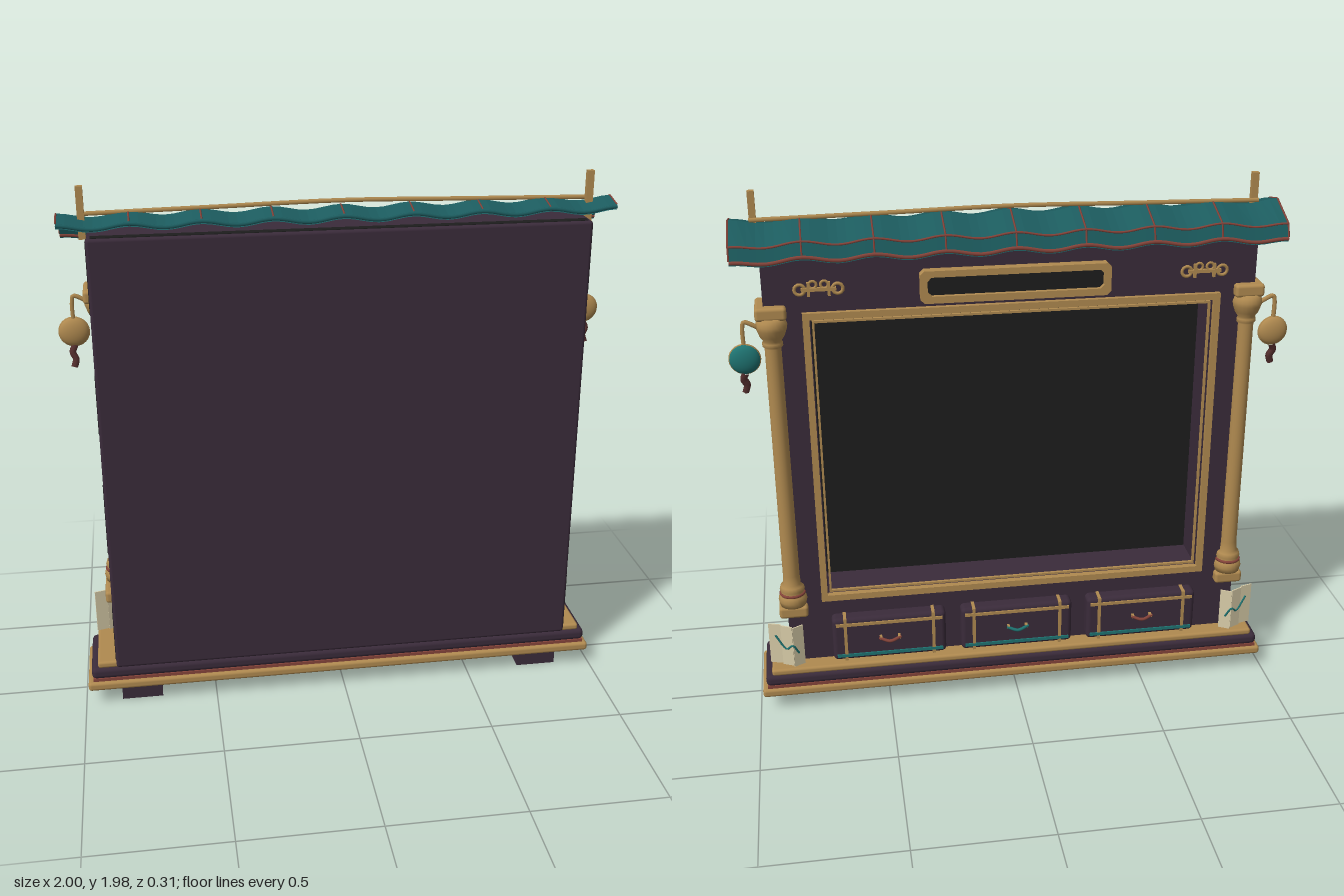
import * as THREE from 'three';
import { RoundedBoxGeometry } from 'three/addons/geometries/RoundedBoxGeometry.js';

const mat = (name, color, side = THREE.FrontSide) => {
  const m = new THREE.MeshStandardMaterial({ color, side });
  m.name = name;
  return m;
};

export function createModel() {
  const root = new THREE.Group();
  root.name = 'displayCabinet';
  const plum = mat('plum wood', 0x3a2b3a), gold = mat('aged gold', 0xb08a50);
  const roofTeal = mat('roof teal', 0x1c5c5f, THREE.DoubleSide), teal = mat('bright teal', 0x1f7472);
  const black = mat('screen black', 0x1d1d1d), red = mat('rust red', 0x86443a);
  const maroon = mat('dark maroon', 0x56302f), cream = mat('cream paper', 0xd8cca8);
  const V = (x, y, z) => new THREE.Vector3(x, y, z);

  const add = (name, geo, m, parent = root) => {
    const mesh = new THREE.Mesh(geo, m);
    mesh.name = name;
    parent.add(mesh);
    return mesh;
  };
  // Box given by its limits on each axis, optionally rounded
  const box = (name, m, x0, x1, y0, y1, z0, z1, r = 0, parent = root) => {
    const s = [x1 - x0, y1 - y0, z1 - z0];
    const geo = r ? new RoundedBoxGeometry(...s, 2, r) : new THREE.BoxGeometry(...s);
    const mesh = add(name, geo, m, parent);
    mesh.position.set((x0 + x1) / 2, (y0 + y1) / 2, (z0 + z1) / 2);
    return mesh;
  };
  const tube = (name, m, pts, r, parent = root, n = 24) =>
    add(name, new THREE.TubeGeometry(new THREE.CatmullRomCurve3(pts), n, r, 6), m, parent);
  // Rectangle outline with corners cut by c
  const rect = (P, x, y0, y1, c) => {
    const s = new P();
    s.moveTo(c - x, y0); s.lineTo(x - c, y0); s.lineTo(x, y0 + c); s.lineTo(x, y1 - c);
    s.lineTo(x - c, y1); s.lineTo(c - x, y1); s.lineTo(-x, y1 - c); s.lineTo(-x, y0 + c);
    s.closePath();
    return s;
  };
  // Rectangular frame between an outer and an inner rectangle
  const frame = (name, m, ox, oy0, oy1, ix, iy0, iy1, z0, z1, c = 0.001) => {
    const s = rect(THREE.Shape, ox, oy0, oy1, c);
    s.holes.push(rect(THREE.Path, ix, iy0, iy1, c));
    const g = new THREE.ExtrudeGeometry(s, { depth: z1 - z0, bevelEnabled: false });
    add(name, g.translate(0, 0, z0), m);
  };

  // Stepped base and feet
  for (const s of [-1, 1]) box('foot', plum, s * 0.785 - 0.077, s * 0.785 + 0.077, 0, 0.067, -0.047, 0.105);
  box('baseSlab', gold, -0.987, 0.987, 0.065, 0.1, -0.15, 0.14, 0.012);
  box('baseRedLine', red, -0.968, 0.968, 0.098, 0.112, -0.14, 0.127);
  box('baseStep', plum, -0.972, 0.972, 0.108, 0.155, -0.143, 0.128, 0.018);
  box('baseTopTrim', gold, -0.947, 0.947, 0.153, 0.18, -0.14, 0.122, 0.01);

  // Cabinet body with a deep opening, back panel and screen
  frame('cabinetBody', plum, 0.872, 0.175, 1.82, 0.715, 0.462, 1.56, -0.075, 0.115);
  box('backPanel', plum, -0.876, 0.876, 0.17, 1.822, 0.11, 0.155, 0.012);
  box('screen', black, -0.715, 0.715, 0.462, 1.56, 0.085, 0.112);
  frame('screenFrame', gold, 0.742, 0.438, 1.582, 0.718, 0.463, 1.558, -0.093, -0.07);
  frame('screenInnerTrim', gold, 0.71, 0.471, 1.55, 0.702, 0.479, 1.542, -0.08, -0.07);

  // Dark inlays along the edges of the back panel and body
  box('topInlay', black, -0.86, 0.86, 1.819, 1.824, 0.113, 0.144);
  const inlays = [[0.2, 0.42, 0.112, 0.143], [0.65, 0.92, 0.112, 0.14], [1.12, 1.34, 0.112, 0.14],
    [1.56, 1.81, 0.112, 0.143], [1.58, 1.8, 0.09, 0.109], [0.33, 0.42, 0.06, 0.109]];
  for (const s of [-1, 1]) for (const [y0, y1, z0, z1] of inlays)
    box('sideInlay', black, s * 0.874 - 0.0035, s * 0.874 + 0.0035, y0, y1, z0, z1);

  // Blank sign above the opening
  frame('signFrame', gold, 0.335, 1.602, 1.718, 0.31, 1.627, 1.695, -0.112, -0.07, 0.014);
  box('signPanel', black, -0.312, 0.312, 1.62, 1.7, -0.095, -0.07);

  // Three drawers with straps, trim and handles
  for (const cx of [-0.493, 0, 0.493]) {
    const d = new THREE.Group();
    d.name = 'drawer';
    d.position.x = cx;
    root.add(d);
    box('drawerFront', plum, -0.217, 0.217, 0.19, 0.372, -0.126, -0.06, 0.018, d);
    for (const y of [0.213, 0.348])
      box('drawerRail', y < 0.3 ? teal : gold, -0.203, 0.203, y - 0.006, y + 0.006, -0.131, -0.123, 0, d);
    for (const s of [-1, 1]) {
      box('drawerStrap', gold, s * 0.168 - 0.006, s * 0.168 + 0.006, 0.192, 0.375, -0.13, -0.07, 0, d);
      box('handlePost', gold, s * 0.035 - 0.005, s * 0.035 + 0.005, 0.28, 0.292, -0.145, -0.12, 0, d);
    }
    tube('drawerHandle', cx ? red : teal, [V(-0.042, 0.288, -0.14), V(0, 0.277, -0.151), V(0.042, 0.288, -0.14)], 0.006, d);
  }

  // Column profile, from base bulge to flared capital
  const columnProfile = [[0, 0.43], [0.048, 0.432], [0.054, 0.455], [0.05, 0.474], [0.041, 0.48], [0.047, 0.498],
    [0.043, 0.514], [0.033, 0.522], [0.031, 0.56], [0.03, 1.0], [0.029, 1.46], [0.036, 1.468], [0.036, 1.48],
    [0.032, 1.487], [0.044, 1.505], [0.053, 1.53], [0.055, 1.545], [0.05, 1.56], [0.042, 1.57], [0, 1.572]]
    .map(p => new THREE.Vector2(...p));

  for (const s of [-1, 1]) {
    const side = new THREE.Group();
    side.name = s > 0 ? 'leftSideFittings' : 'rightSideFittings';
    root.add(side);
    const X = x => s * x;
    // Columns with square blocks above and below
    add('column', new THREE.LatheGeometry(columnProfile, 20), gold, side).position.set(X(0.848), 0, -0.073);
    const band = add('columnRedBand', new THREE.TorusGeometry(0.044, 0.006, 6, 20), red, side);
    band.rotation.x = Math.PI / 2;
    band.position.set(X(0.848), 0.482, -0.073);
    for (const y of [0.383, 1.563])
      box('columnBlock', gold, X(0.848) - 0.054, X(0.848) + 0.054, y, y + 0.048, -0.108, 0.035, 0.012, side);

    // Hanging round lantern with hook and tassel
    tube('lanternHook', gold, [V(X(0.88), 1.53, -0.085), V(X(0.905), 1.548, -0.09), V(X(0.94), 1.562, -0.09),
      V(X(0.946), 1.54, -0.09), V(X(0.946), 1.475, -0.09)], 0.008, side);
    for (const back of [0, 1]) {
      const half = add(back ? 'lanternBack' : 'lanternFace', new THREE.SphereGeometry(0.054, 20, 14, back ? 0 : Math.PI, Math.PI),
        back || s < 0 ? gold : teal, side);
      half.scale.z = 0.45;
      half.position.set(X(0.946), 1.43, -0.092);
    }
    const rim = add('lanternRim', new THREE.TorusGeometry(0.05, 0.006, 6, 24), gold, side);
    rim.position.set(X(0.946), 1.43, -0.092);
    tube('lanternTassel', maroon, [V(X(0.946), 1.38, -0.092), V(X(0.956), 1.355, -0.085),
      V(X(0.946), 1.33, -0.08), V(X(0.953), 1.303, -0.075)], 0.013, side);

    // Folded paper card with a zigzag stroke
    const fold = [[0.82, -0.108], [0.86, -0.13], [0.902, -0.11], [0.948, -0.097]];
    for (let i = 0; i < 3; i++) {
      const [a, b] = [fold[i], fold[i + 1]];
      const panel = add('cardPanel', new THREE.BoxGeometry(Math.hypot(b[0] - a[0], b[1] - a[1]), 0.17, 0.005), cream, side);
      panel.position.set(X((a[0] + b[0]) / 2), 0.27 + 0.005 * i, (a[1] + b[1]) / 2);
      panel.rotation.y = -s * Math.atan2(b[1] - a[1], b[0] - a[0]);
    }
    tube('cardStroke', teal, [V(X(0.84), 0.24, -0.122), V(X(0.862), 0.28, -0.133), V(X(0.885), 0.262, -0.121),
      V(X(0.925), 0.318, -0.107)], 0.004, side);

    // Scroll ornament on the header
    const cx = X(0.68);
    box('scrollBar', gold, cx - 0.06, cx + 0.06, 1.658, 1.67, -0.088, -0.07, 0, side);
    for (const t of [-1, 1]) {
      add('scrollRing', new THREE.TorusGeometry(0.018, 0.006, 6, 14), gold, side).position.set(cx + t * 0.065, 1.664, -0.08);
      add('scrollBud', new THREE.TorusGeometry(0.013, 0.005, 6, 12), gold, side).position.set(cx + t * 0.02, 1.68, -0.08);
      box('scrollPin', gold, cx + t * 0.035 - 0.005, cx + t * 0.035 + 0.005, 1.64, 1.69, -0.086, -0.07, 0, side);
    }

    // Post standing through the roof
    box('roofPost', gold, X(0.887) - 0.012, X(0.887) + 0.012, 1.8, 1.98, 0.04, 0.062, 0, side);
  }

  // Wavy canopy: a cross-section swept along x
  const profile = [[0.117, 1.86], [0.034, 1.878], [-0.098, 1.83], [-0.112, 1.785]];
  const half = 0.97, pitch = 0.243;
  const roofPoint = (x, k, lift = 0) => {
    const flare = k > 1 ? 0.01 * Math.max(0, (Math.abs(x) - 0.75) / 0.22) ** 2 : 0;
    return V(x, profile[k][1] + 0.008 * Math.cos(x / pitch * Math.PI * 2) - flare + lift, profile[k][0]);
  };
  const sheet = (name, lift) => {
    const n = 64, g = new THREE.PlaneGeometry(1, 1, n, 3);
    const pos = g.attributes.position;
    for (let k = 0; k < 4; k++) for (let i = 0; i <= n; i++) {
      const p = roofPoint(-half + 2 * half * i / n, k, lift);
      pos.setXYZ(k * (n + 1) + i, p.x, p.y, p.z);
    }
    // Reverse the winding so the upper side is the front
    const idx = g.index.array;
    for (let i = 0; i < idx.length; i += 3) [idx[i + 1], idx[i + 2]] = [idx[i + 2], idx[i + 1]];
    const flat = g.toNonIndexed();
    flat.computeVertexNormals();
    add(name, flat, roofTeal);
  };
  sheet('roofTiles', 0);
  sheet('roofUnderside', -0.016);
  for (const k of [0, 2, 3]) {
    const pts = [];
    for (let i = 0; i <= 64; i++) pts.push(roofPoint(-half + 2 * half * i / 64, k, k === 2 ? 0 : -0.006));
    tube('roofEdge', k ? red : roofTeal, pts, k === 2 ? 0.004 : 0.007, root, 96);
  }
  for (let i = -4; i <= 4; i++) {
    const x = Math.max(-half, Math.min(half, i * pitch));
    const path = new THREE.CurvePath();
    for (let k = 0; k < 3; k++) path.add(new THREE.LineCurve3(roofPoint(x, k), roofPoint(x, k + 1)));
    add('roofSeam', new THREE.TubeGeometry(path, 18, 0.0035, 5), red);
  }

  // Slim rod arching between the posts
  tube('roofRod', gold, [V(-0.9, 1.882, 0.035), V(-0.45, 1.89, 0.032), V(0, 1.898, 0.03), V(0.45, 1.89, 0.032), V(0.9, 1.882, 0.035)], 0.008);
  return root;
}
